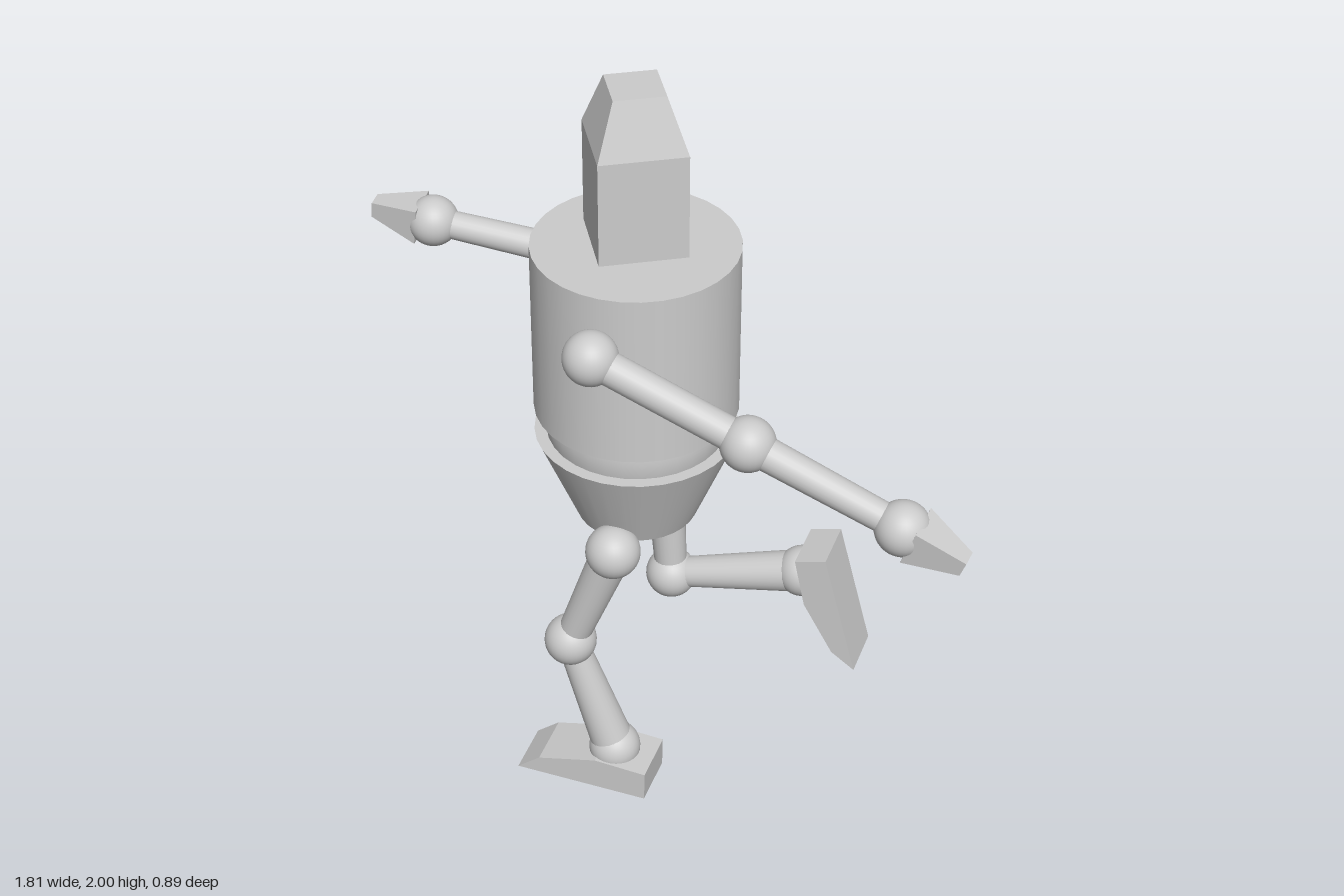
import * as THREE from 'three';

const smooth = new THREE.MeshStandardMaterial({ color: 0xcccccc });
const faceted = new THREE.MeshStandardMaterial({ color: 0xcccccc, flatShading: true });
const UP = new THREE.Vector3(0, 1, 0);
const CX = -0.035, CZ = 0.042; // axis of the trunk

export function createModel() {
  const root = new THREE.Group();
  root.name = 'runningFigure';

  function add(parent, name, geometry, material = smooth) {
    const mesh = new THREE.Mesh(geometry, material);
    mesh.name = name;
    parent.add(mesh);
    return mesh;
  }

  // Upright trunk section between two heights
  function section(name, y0, y1, r0, r1, sides = 32, material = smooth) {
    const mesh = add(root, name, new THREE.CylinderGeometry(r1, r0, y1 - y0, sides), material);
    mesh.position.set(CX, (y0 + y1) / 2, CZ);
    return mesh;
  }

  function joint(parent, name, p, r = 0.068) {
    add(parent, name, new THREE.SphereGeometry(r, 32, 20)).position.copy(p);
  }

  // Tapered rod from a to b
  function rod(parent, name, a, b, r0, r1, sides = 24, material = smooth) {
    const d = b.clone().sub(a);
    const geometry = new THREE.CylinderGeometry(r1, r0, d.length(), sides);
    if (sides === 4) geometry.rotateY(Math.PI / 4);
    const mesh = add(parent, name, geometry, material);
    mesh.position.copy(a).addScaledVector(d, 0.5);
    mesh.quaternion.setFromUnitVectors(UP, d.normalize());
  }

  // Trunk, neck and head
  section('hips', 0.78, 1.03, 0.155, 0.257);
  section('torso', 1.105, 1.57, 0.257, 0.257);
  section('neck', 1.5, 1.65, 0.068, 0.068);
  joint(root, 'waist', new THREE.Vector3(CX, 1.07, CZ), 0.23);
  const turn = THREE.MathUtils.degToRad(75);
  section('head', 1.585, 1.86, 0.154, 0.154, 4, faceted).rotation.y = turn;
  section('headTop', 1.86, 2, 0.154, 0.09, 4, faceted).rotation.y = turn;

  // Arms: shoulder, elbow, wrist, fingertip
  const arms = {
    rightArm: [[-0.037, 1.44, 0.355], [0.354, 1.29, 0.36], [0.738, 1.15, 0.373], [0.895, 1.092, 0.383]],
    leftArm: [[-0.03, 1.436, -0.28], [-0.338, 1.213, -0.382], [-0.736, 1.265, -0.334], [-0.9, 1.283, -0.325]],
  };
  for (const [name, points] of Object.entries(arms)) {
    const arm = new THREE.Group();
    arm.name = name;
    root.add(arm);
    const [shoulder, elbow, wrist, tip] = points.map(p => new THREE.Vector3(...p));
    joint(arm, 'shoulder', shoulder);
    joint(arm, 'elbow', elbow);
    joint(arm, 'wrist', wrist);
    rod(arm, 'upperArm', shoulder, elbow, 0.042, 0.041);
    rod(arm, 'forearm', elbow, wrist, 0.042, 0.037);
    rod(arm, 'hand', wrist.clone().lerp(tip, 0.2), tip, 0.073, 0.031, 4, faceted);
  }

  // Wedge-shaped foot, heel at the origin and toe towards -x
  const profile = [[0, 0], [0, 0.085], [-0.14, 0.092], [-0.298, 0.05], [-0.358, 0]];
  const footGeometry = new THREE.ExtrudeGeometry(
    new THREE.Shape(profile.map(p => new THREE.Vector2(...p))),
    { depth: 0.146, bevelEnabled: false });
  footGeometry.translate(0, 0, -0.073);

  // Legs: hip, knee, ankle, then heel position and foot angle
  const legs = {
    rightLeg: {
      points: [[-0.032, 0.767, 0.233], [-0.153, 0.44, 0.23], [-0.035, 0.1, 0.228]],
      heel: [0.073, 0.003, 0.228], angle: -0.02,
    },
    leftLeg: {
      points: [[-0.03, 0.767, -0.153], [-0.005, 0.415, -0.144], [0.354, 0.5, -0.165]],
      heel: [0.434, 0.603, -0.169], angle: 1.827,
    },
  };
  for (const [name, { points, heel, angle }] of Object.entries(legs)) {
    const leg = new THREE.Group();
    leg.name = name;
    root.add(leg);
    const [hip, knee, ankle] = points.map(p => new THREE.Vector3(...p));
    joint(leg, 'hipJoint', hip, 0.07);
    joint(leg, 'knee', knee);
    joint(leg, 'ankle', ankle);
    rod(leg, 'thigh', hip, knee, 0.053, 0.042);
    rod(leg, 'shin', knee, ankle, 0.039, 0.057);
    const foot = add(leg, 'foot', footGeometry, faceted);
    foot.position.set(...heel);
    foot.rotation.z = angle;
  }
  return root;
}
